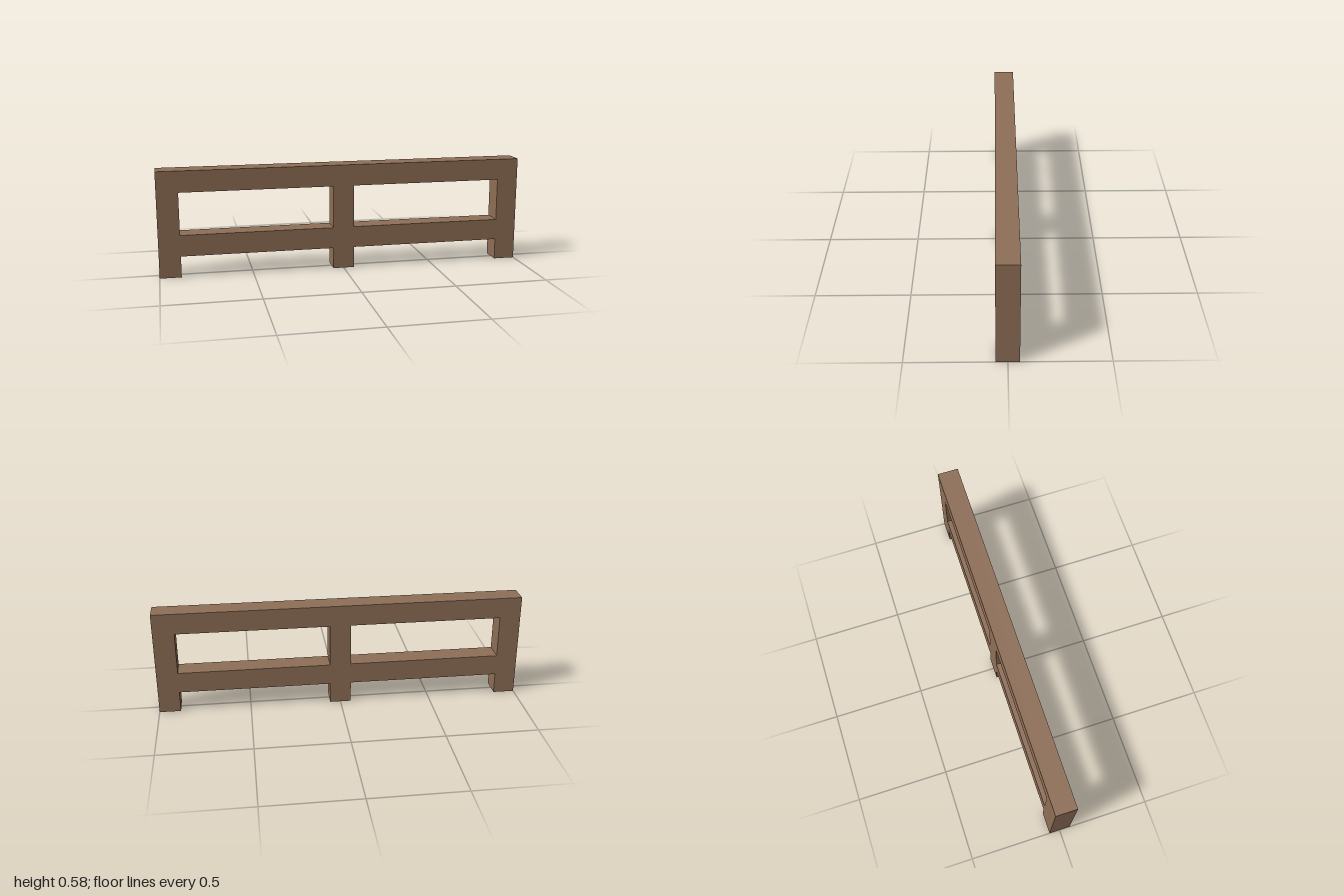
import * as THREE from 'three';

export function createModel() {
  const model = new THREE.Group();
  model.name = 'fence';

  const wood = new THREE.MeshStandardMaterial({ color: 0x8f6f57 });
  wood.name = 'brown wood';

  const beam = 2 / 17.33; // square timber thickness; the fence is five beams high
  const height = beam * 5;
  const half = beam / 2;

  // Outline: three feet below the lower rail
  const outline = new THREE.Shape([
    [-1, 0], [-1 + beam, 0], [-1 + beam, beam],
    [-half, beam], [-half, 0], [half, 0], [half, beam],
    [1 - beam, beam], [1 - beam, 0], [1, 0],
    [1, height], [-1, height],
  ].map(([x, y]) => new THREE.Vector2(x, y)));

  // Openings between the rails, one on each side of the middle post
  for (const side of [-1, 1]) {
    const inner = side * half, outer = side * (1 - beam);
    outline.holes.push(new THREE.Path([
      new THREE.Vector2(inner, beam * 2),
      new THREE.Vector2(outer, beam * 2),
      new THREE.Vector2(outer, beam * 4),
      new THREE.Vector2(inner, beam * 4),
    ]));
  }

  // Posts and rails joined flush in one frame
  const geometry = new THREE.ExtrudeGeometry(outline, { depth: beam, bevelEnabled: false });
  geometry.translate(0, 0, -half);
  const frame = new THREE.Mesh(geometry, wood);
  frame.name = 'postsAndRails';
  model.add(frame);

  return model;
}
